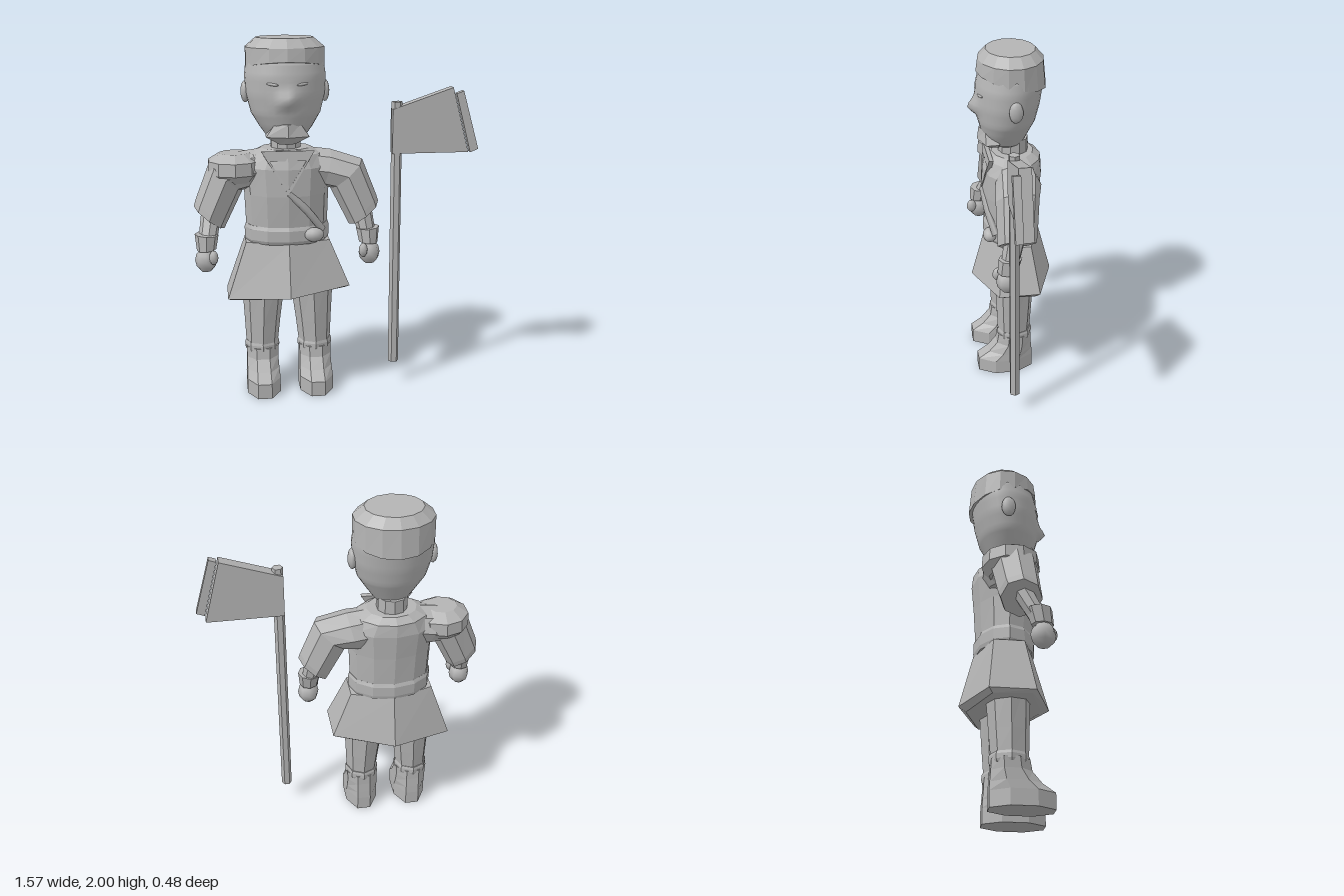
import * as THREE from 'three';

const clay = new THREE.MeshStandardMaterial({ color: 0xb4b4b4 });
clay.name = 'light grey';

// Cross-section from p to q ([x, y] ends), zf/zb = front and back depth, dy = front-up tilt
function ring(p, q, zf, zb, n = 8, dy = 0, turn = 0) {
  const pts = [];
  for (let i = 0; i < n; i++) {
    const a = ((i + turn) / n) * Math.PI * 2, s = Math.sin(a), c = Math.cos(a);
    pts.push(new THREE.Vector3(
      (p[0] + q[0]) / 2 + ((q[0] - p[0]) / 2) * s,
      (p[1] + q[1]) / 2 + ((q[1] - p[1]) / 2) * s + dy * c,
      (zf + zb) / 2 + ((zf - zb) / 2) * c));
  }
  return pts;
}
const level = (x, y, hw, zf, zb, n, dy, turn) => ring([x - hw, y], [x + hw, y], zf, zb, n, dy, turn);

// Capped skin over rings listed from bottom to top
function loft(rings, smooth = false) {
  const n = rings[0].length, pos = [], idx = [];
  const mid = (r) => r.reduce((m, v) => m.add(v), new THREE.Vector3()).divideScalar(n);
  rings.flat().forEach((v) => pos.push(v.x, v.y, v.z));
  const top = (rings.length - 1) * n, end = rings.length * n;
  [mid(rings[0]), mid(rings[rings.length - 1])].forEach((v) => pos.push(v.x, v.y, v.z));
  for (let i = 0; i < n; i++) {
    const j = (i + 1) % n;
    for (let r = 0; r < top; r += n) idx.push(r + i, r + j, r + n + j, r + i, r + n + j, r + n + i);
    idx.push(end, j, i, end + 1, top + i, top + j);
  }
  let g = new THREE.BufferGeometry();
  g.setAttribute('position', new THREE.Float32BufferAttribute(pos, 3));
  g.setIndex(idx);
  if (!smooth) g = g.toNonIndexed();
  g.computeVertexNormals();
  return g;
}

function add(parent, name, geometry, x = 0, y = 0, z = 0) {
  const m = new THREE.Mesh(geometry, clay);
  m.name = name;
  m.position.set(x, y, z);
  parent.add(m);
  return m;
}

function blob(rx, ry, rz, w = 10, h = 8) {
  return new THREE.SphereGeometry(1, w, h).scale(rx, ry, rz);
}

function slab(points, depth, hole) {
  const shape = new THREE.Shape(points.map((p) => new THREE.Vector2(...p)));
  if (hole) shape.holes.push(new THREE.Path(hole.map((p) => new THREE.Vector2(...p))));
  return new THREE.ExtrudeGeometry(shape, { depth, bevelEnabled: false });
}

function buildHead(body) {
  // Rows: y, half width, front, back
  const rows = [[1.43, 0.05, 0.06, -0.03], [1.46, 0.1, 0.13, -0.07], [1.53, 0.148, 0.165, -0.105],
    [1.6, 0.19, 0.185, -0.14], [1.7, 0.215, 0.195, -0.165], [1.8, 0.222, 0.193, -0.18], [1.88, 0.212, 0.175, -0.185]];
  const rings = [];
  for (let k = 0; k < (rows.length - 1) * 4 + 1; k++) {
    const i = Math.min(Math.floor(k / 4), rows.length - 2), t = k / 4 - i;
    const [y, hw, zf, zb] = rows[i].map((v, j) => THREE.MathUtils.lerp(v, rows[i + 1][j], t));
    const r = level(0, y, hw, zf, zb, 32);
    // Nose ridge, sharper below the tip
    r.forEach((v) => {
      const d = (y - 1.67) / (y > 1.67 ? 0.055 : 0.03);
      if (v.z > 0) v.z += 0.048 * Math.exp(-((v.x / 0.045) ** 2) - d * d);
    });
    rings.push(r);
  }
  add(body, 'head', loft(rings, true));
  add(body, 'cap', loft([
    level(0, 1.835, 0.218, 0.19, -0.2, 14, 0.045),
    level(0, 1.95, 0.218, 0.18, -0.185, 14),
    level(0, 2, 0.158, 0.135, -0.14, 14)]));
  add(body, 'beard', loft([
    level(0, 1.435, 0.05, 0.14, 0.05, 6),
    level(0, 1.48, 0.135, 0.19, 0.04, 6),
    level(0, 1.55, 0.08, 0.18, 0.06, 6)]));
  add(body, 'neck', new THREE.CylinderGeometry(0.085, 0.085, 0.12, 10).toNonIndexed(), 0, 1.42, -0.015)
    .geometry.computeVertexNormals();
  for (const s of [-1, 1]) {
    add(body, 'ear', blob(0.025, 0.06, 0.04), s * 0.218, 1.71, 0);
    const eye = add(body, 'eyelid', blob(0.035, 0.008, 0.008), s * 0.08, 1.765, 0.178);
    eye.rotation.set(0, s * 0.35, s * 0.12);
  }
}

function buildTorso(body) {
  add(body, 'tunic', loft([[0.97, 0.228, 0.155, -0.155], [1.15, 0.235, 0.17, -0.165], [1.3, 0.25, 0.165, -0.178],
    [1.37, 0.2, 0.145, -0.17], [1.4, 0.14, 0.11, -0.13]].map((r) => level(0, ...r, 12))));
  add(body, 'belt', loft([[0.875, 0.23, 0.155, -0.16], [0.895, 0.237, 0.165, -0.165],
    [0.955, 0.237, 0.165, -0.165], [0.975, 0.23, 0.155, -0.155]].map((r) => level(0, ...r, 12))));
  // Six-sided skirt, hanging a little lower on its right
  add(body, 'skirt', loft([
    ring([-0.37, 0.543], [0.37, 0.602], 0.2, -0.2, 6, 0.01),
    ring([-0.395, 0.56], [0.395, 0.622], 0.24, -0.24, 6, 0),
    level(0, 0.88, 0.27, 0.16, -0.165, 6)]));
  // Neckline trim
  const trim = add(body, 'collar', slab([[-0.145, 0.24], [0, 0], [0.145, 0.24]], 0.025,
    [[-0.1, 0.185], [0.1, 0.185], [0, 0.03]]), 0, 1.16, 0.15);
  trim.rotation.x = -0.14;
  // Diagonal strap and pouch
  const path = new THREE.CatmullRomCurve3([[0, 1.17, 0.163], [0.1, 1.07, 0.15], [0.19, 0.95, 0.115]]
    .map((p) => new THREE.Vector3(...p)));
  add(body, 'strap', new THREE.TubeGeometry(path, 6, 0.02, 4));
  add(body, 'pouch', blob(0.055, 0.04, 0.04), 0.14, 0.93, 0.145);
  // Single shoulder guard
  add(body, 'shoulderGuard', loft([[1.22, 0.115], [1.265, 0.155], [1.335, 0.15], [1.375, 0.085]]
    .map(([y, r]) => level(-0.285, y, r, r, -r, 10))));
}

function buildArm(body, s) {
  const side = s > 0 ? 'left' : 'right', dz = s > 0 ? 0 : 0.045;
  // Section given by its inner and outer ends, mirrored by side
  const cut = ([ix, iy, ox, oy, zf, zb]) => s > 0
    ? ring([ix, iy], [ox, oy], zf, zb) : ring([-ox, oy], [-ix, iy], zf, zb);
  add(body, side + 'Sleeve', loft([
    [0.35, 0.955, 0.515, 1.085, 0.14, -0.075], [0.335, 0.985, 0.505, 1.12, 0.14, -0.085],
    [0.245, 1.165, 0.425, 1.325, 0.135, -0.11], [0.2, 1.17, 0.25, 1.38, 0.12, -0.14],
    [0.1, 1.17, 0.1, 1.4, 0.1, -0.13]].map(cut)));
  add(body, side + 'Forearm', loft([
    [0.4, 0.88, 0.5, 0.88, 0.13 + dz, 0.03 + dz], [0.36, 1.06, 0.475, 1.06, 0.1, -0.02]].map(cut)));
  add(body, side + 'Cuff', loft([
    [0.4, 0.865, 0.505, 0.86, 0.145 + dz, 0.03 + dz], [0.385, 0.94, 0.515, 0.95, 0.14 + dz, 0.005 + dz]].map(cut)));
  add(body, side + 'Hand', blob(0.06, 0.07, 0.065, 8, 6), s * 0.457, 0.805, 0.09 + dz);
  add(body, side + 'Thumb', blob(0.025, 0.04, 0.03, 8, 6), s * 0.415, 0.83, 0.14 + dz);
}

function buildLeg(body, s) {
  const side = s > 0 ? 'left' : 'right';
  // Rows: y, inner x, outer x, front, back
  const cut = ([y, a, b, zf, zb]) => level((s * (a + b)) / 2, y, (b - a) / 2, zf, zb, 8);
  // Half-step turn gives the boot flat sides and a blunt toe
  const boot = ([y, a, b, zf, zb]) => {
    const k = 1 / Math.cos(Math.PI / 8), m = (zf + zb) / 2, h = ((zf - zb) / 2) * k;
    return level((s * (a + b)) / 2, y, ((b - a) / 2) * k, m + h, m - h, 8, 0, 0.5);
  };
  add(body, side + 'Boot', loft([[0, 0.057, 0.245, 0.23, -0.1], [0.085, 0.057, 0.245, 0.23, -0.1],
    [0.13, 0.06, 0.242, 0.165, -0.097], [0.19, 0.063, 0.24, 0.115, -0.092],
    [0.25, 0.06, 0.243, 0.105, -0.09]].map(boot)));
  add(body, side + 'BootBand', loft([[0.225, 0.06, 0.245, 0.105, -0.095], [0.24, 0.053, 0.25, 0.11, -0.1],
    [0.265, 0.053, 0.25, 0.11, -0.1], [0.28, 0.06, 0.245, 0.105, -0.095]].map(cut)));
  add(body, side + 'Leg', loft([[0.27, 0.06, 0.242, 0.105, -0.09], [0.4, 0.045, 0.248, 0.11, -0.1],
    [0.66, 0.01, 0.262, 0.12, -0.118]].map(cut)));
}

function buildAxe() {
  const axe = new THREE.Group();
  axe.name = 'axe';
  const pole = new THREE.CylinderGeometry(0.03, 0.03, 1.52, 6).rotateY(Math.PI / 6).toNonIndexed();
  pole.computeVertexNormals();
  add(axe, 'axePole', pole, 0.337, 0.89, 0.075);
  add(axe, 'axeBlade', slab([[0.31, 1.365], [0.738, 1.365], [0.645, 1.725], [0.31, 1.61]], 0.065), 0, 0, 0.04);
  // Cutting edge bar beside the blade
  const edge = slab([[0.74, 1.37], [0.785, 1.388], [0.695, 1.71], [0.655, 1.695]], 0.04);
  add(axe, 'axeEdge', edge, 0, 0, 0.1);
  return axe;
}

export function createModel() {
  const model = new THREE.Group();
  model.name = 'figureWithAxe';
  const body = new THREE.Group();
  body.name = 'figure';
  body.position.x = -0.27;
  model.add(body, buildAxe());
  buildHead(body);
  buildTorso(body);
  for (const s of [-1, 1]) {
    buildArm(body, s);
    buildLeg(body, s);
  }
  return model;
}
